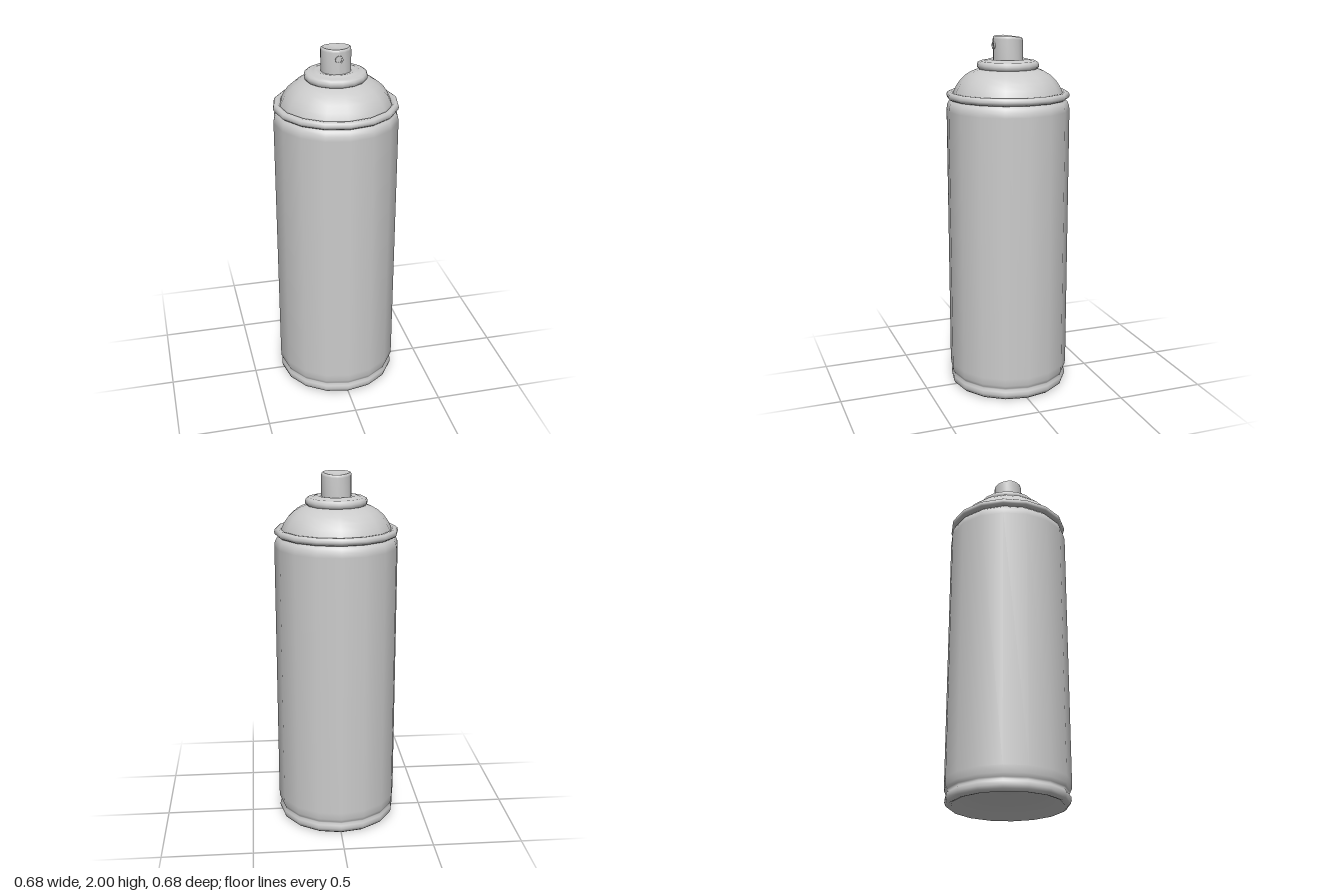
import * as THREE from 'three';

const SIDES = 16;

// Smooth solid of revolution from [radius, height] pairs, listed bottom to top.
function turned(name, pairs, material) {
  const points = pairs.map(([r, y]) => new THREE.Vector2(r, y));
  const mesh = new THREE.Mesh(new THREE.LatheGeometry(points, SIDES), material);
  mesh.name = name;
  return mesh;
}

export function createModel() {
  const group = new THREE.Group();
  group.name = 'sprayCan';
  const grey = new THREE.MeshStandardMaterial({ color: 0xcccccc });

  // Domed-in base, rolled bottom lip, straight wall and rounded shoulder
  group.add(turned('body', [
    [0, 0.1], [0.12, 0.085], [0.22, 0.055], [0.285, 0.02], [0.3, 0.004],
    [0.315, 0], [0.33, 0.012], [0.336, 0.03], [0.334, 0.05], [0.325, 0.062],
    [0.33, 0.072], [0.338, 0.09], [0.34, 0.13], [0.34, 1.6], [0.337, 1.625],
    [0.328, 1.645], [0.312, 1.66], [0.305, 1.668],
  ], grey));

  // Crimped rim where the dome meets the wall
  group.add(turned('rim', [
    [0.305, 1.662], [0.325, 1.66], [0.336, 1.668], [0.34, 1.68],
    [0.336, 1.694], [0.325, 1.702], [0.31, 1.7], [0.302, 1.69],
  ], grey));

  // Rounded dome
  group.add(turned('dome', [
    [0.302, 1.69], [0.297, 1.705], [0.283, 1.733], [0.26, 1.765],
    [0.23, 1.792], [0.198, 1.811], [0.165, 1.823], [0.15, 1.826],
  ], grey));

  // Valve cup: rolled collar with a low raised ring closing under the nozzle
  group.add(turned('valveCup', [
    [0.15, 1.824], [0.162, 1.824], [0.169, 1.833], [0.17, 1.846], [0.165, 1.859],
    [0.152, 1.866], [0.132, 1.866], [0.118, 1.872], [0.108, 1.876],
    [0.095, 1.873], [0.07, 1.868], [0, 1.868],
  ], grey));

  // Nozzle button with a shallow finger dish, lowered slightly at the back
  const nozzle = new THREE.Group();
  nozzle.name = 'nozzle';
  const wall = turned('nozzleWall', [
    [0.082, 1.866], [0.082, 1.985], [0.079, 1.995], [0.073, 2],
  ], grey);
  const top = turned('nozzleTop', [[0.073, 2], [0.04, 1.992], [0, 1.988]], grey);
  for (const part of [wall, top]) {
    const p = part.geometry.attributes.position;
    for (let i = 0; i < p.count; i++) {
      if (p.getY(i) > 1.9 && p.getZ(i) < 0) p.setY(i, p.getY(i) + p.getZ(i) * 0.12);
    }
    part.geometry.computeVertexNormals();
    nozzle.add(part);
  }

  // Spray outlet: short ring around a recessed disc on the front
  const ring = new THREE.Mesh(new THREE.LatheGeometry([
    [0.021, 0.07], [0.021, 0.086], [0.014, 0.086], [0.014, 0.079], [0, 0.079],
  ].map(([r, d]) => new THREE.Vector2(r, d)), 12), grey);
  ring.geometry = ring.geometry.toNonIndexed();
  ring.geometry.computeVertexNormals();
  ring.name = 'sprayOutlet';
  ring.rotation.x = Math.PI / 2;
  ring.position.y = 1.95;
  nozzle.add(ring);
  group.add(nozzle);

  return group;
}
